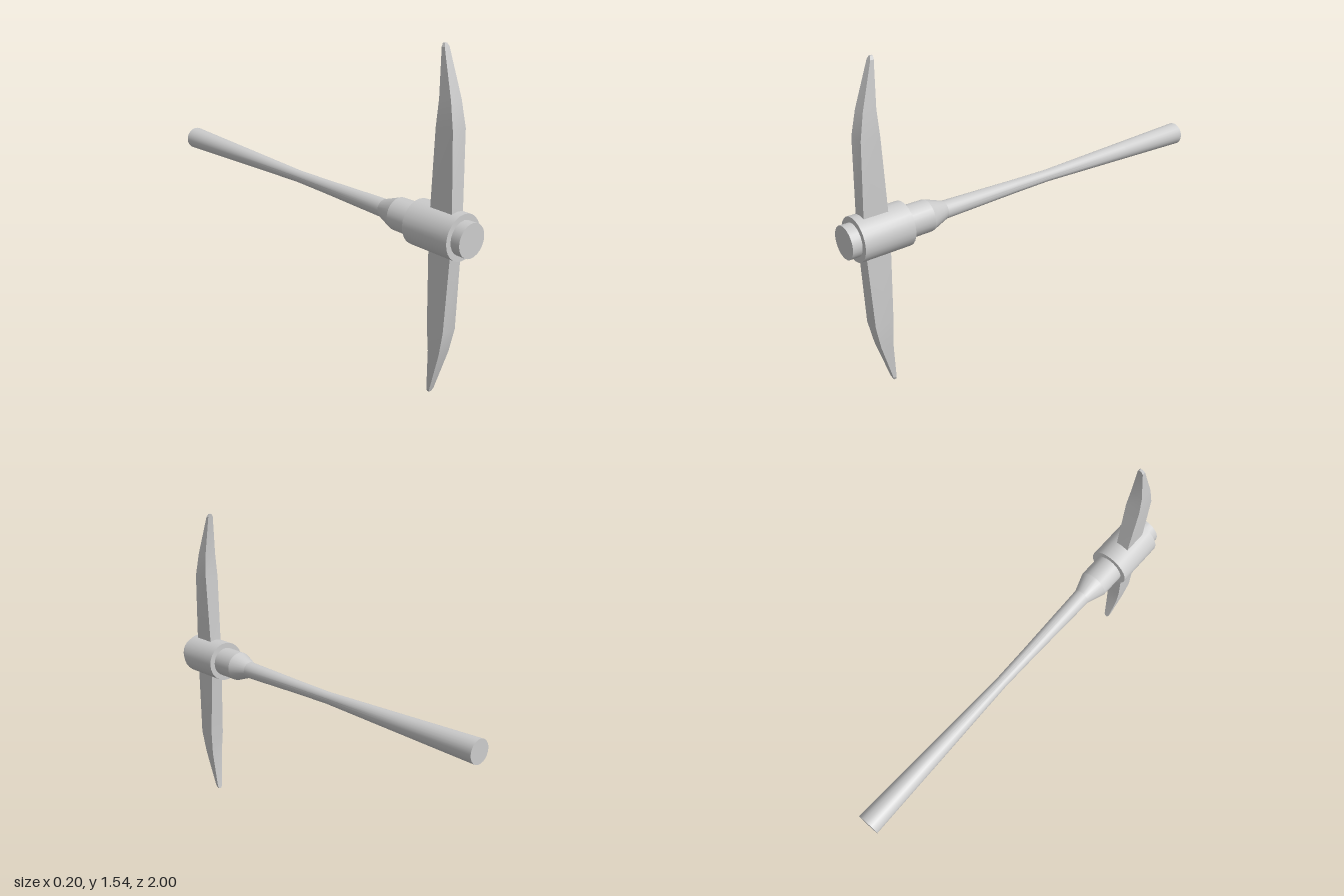
import * as THREE from 'three';
import { toCreasedNormals } from 'three/addons/utils/BufferGeometryUtils.js';

const AXIS_Y = 0.772; // height of the handle axis

// Round part turned about the z axis, from [radius, z] pairs
function turned(name, profile, material) {
  const points = profile.map(([r, z]) => new THREE.Vector2(r, z));
  const geometry = toCreasedNormals(new THREE.LatheGeometry(points, 24), 0.3);
  geometry.rotateX(Math.PI / 2);
  const mesh = new THREE.Mesh(geometry, material);
  mesh.name = name;
  return mesh;
}

// Four-sided blade lofted through sections [y, halfWidth, backZ, frontZ]
function bladeGeometry(sections) {
  const positions = [];
  const index = [];
  for (const [y, w, back, front] of sections) {
    positions.push(-w, y, back, -w, y, front, w, y, front, w, y, back);
  }
  for (let i = 0; i < sections.length - 1; i++) {
    for (let j = 0; j < 4; j++) {
      const a = i * 4 + j;
      const b = i * 4 + ((j + 1) % 4);
      index.push(a, b, b + 4, a, b + 4, a + 4);
    }
  }
  // Close the tip
  const t = (sections.length - 1) * 4;
  index.push(t, t + 1, t + 2, t, t + 2, t + 3);
  const geometry = new THREE.BufferGeometry();
  geometry.setAttribute('position', new THREE.Float32BufferAttribute(positions, 3));
  geometry.setIndex(index);
  return toCreasedNormals(geometry, 0.3);
}

export function createModel() {
  const group = new THREE.Group();
  group.name = 'pickaxe';
  const material = new THREE.MeshStandardMaterial({ color: 0xcccccc });

  // Handle: flared grip, slim waist, thick shoulder running through the head
  const handle = turned('handle', [
    [0, -1], [0.056, -1], [0.044, -0.6], [0.032, -0.2], [0.029, -0.1],
    [0.032, 0.1], [0.042, 0.5], [0.074, 0.59], [0.076, 1], [0, 1],
  ], material);

  // Collar around the handle
  const collar = turned('collar', [
    [0.07, 0.71], [0.102, 0.71], [0.102, 0.955], [0.07, 0.955],
  ], material);

  // Matching upper and lower blades, curving back to narrow tips
  const geometry = bladeGeometry([
    [0.06, 0.033, 0.797, 0.92],
    [0.1, 0.033, 0.8, 0.918],
    [0.44, 0.038, 0.815, 0.905],
    [0.555, 0.031, 0.82, 0.882],
    [0.755, 0.014, 0.806, 0.822],
    [0.77, 0.006, 0.804, 0.816],
  ]);
  const upperBlade = new THREE.Mesh(geometry, material);
  upperBlade.name = 'upperBlade';
  const lowerBlade = new THREE.Mesh(geometry, material);
  lowerBlade.name = 'lowerBlade';
  lowerBlade.rotation.z = Math.PI;

  for (const part of [handle, collar, upperBlade, lowerBlade]) {
    part.position.y = AXIS_Y;
    group.add(part);
  }
  return group;
}
